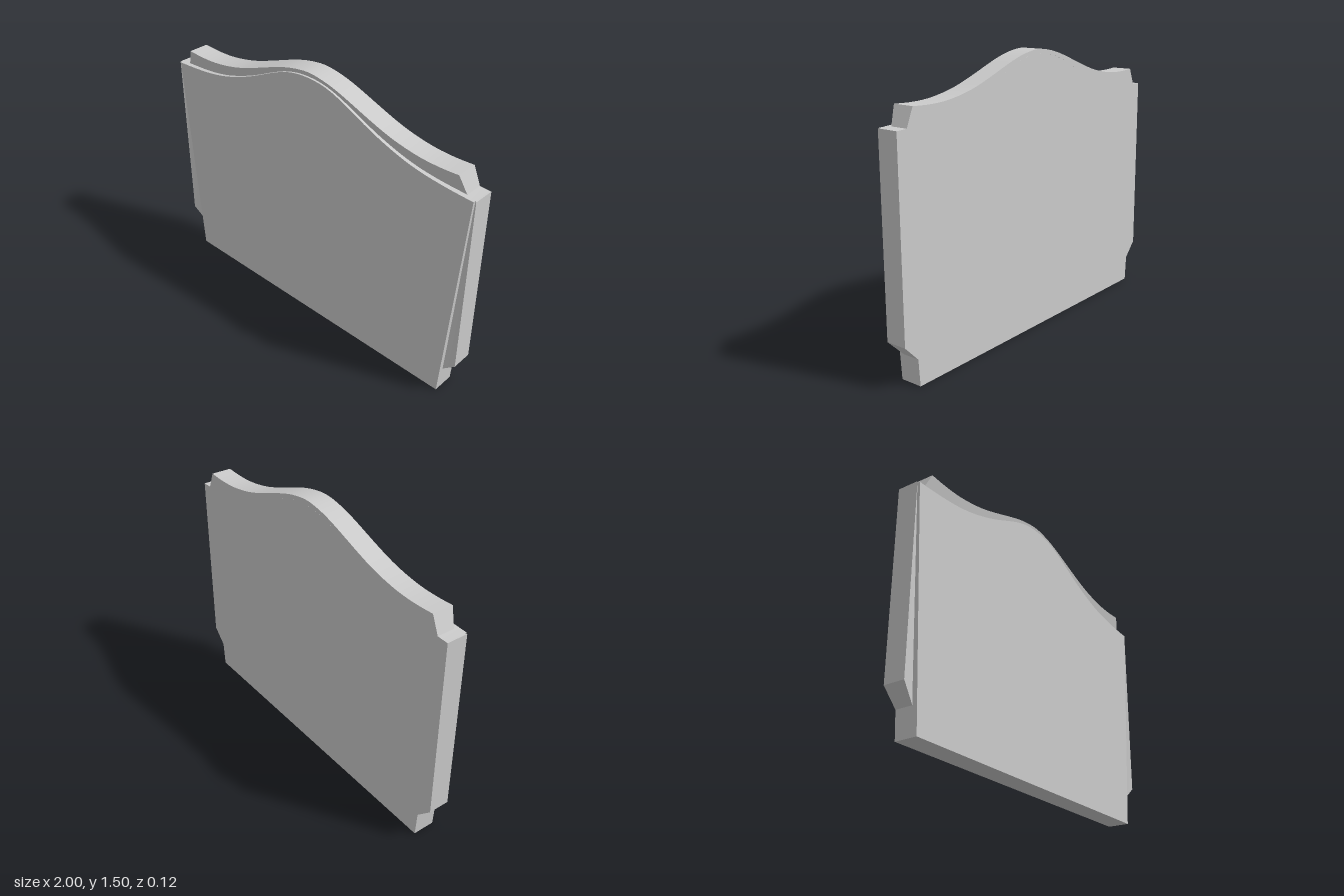
import * as THREE from 'three';
import { toCreasedNormals } from 'three/addons/utils/BufferGeometryUtils.js';

const BACK = -0.06, RIM = 0.055, FACE = 0.061;
const material = new THREE.MeshStandardMaterial({ color: 0xcccccc });

// Samples a smooth crest through [x, y] points, mirrored about x = 0
function crest(half, x) {
  const pts = [...half.slice(1).reverse().map(([a, b]) => [-a, b]), ...half];
  const i = Math.max(1, Math.min(pts.length - 3, pts.findIndex((p) => p[0] > x) - 1));
  const [p0, p1, p2, p3] = [pts[i - 1], pts[i], pts[i + 1], pts[i + 2]];
  const h = p2[0] - p1[0], t = (x - p1[0]) / h;
  const m1 = (p2[1] - p0[1]) / (p2[0] - p0[0]) * h;
  const m2 = (p3[1] - p1[1]) / (p3[0] - p1[0]) * h;
  return (2 * t ** 3 - 3 * t * t + 1) * p1[1] + (t ** 3 - 2 * t * t + t) * m1
    + (3 * t * t - 2 * t ** 3) * p2[1] + (t ** 3 - t * t) * m2;
}
const OUTER = [[0, 1.5], [0.1, 1.488], [0.2, 1.461], [0.4, 1.388], [0.5, 1.355], [0.6, 1.332],
  [0.7, 1.318], [0.8, 1.315], [0.9, 1.32], [1, 1.328]];
const INNER = [[0, 1.475], [0.1, 1.466], [0.2, 1.435], [0.4, 1.343], [0.5, 1.304], [0.6, 1.272],
  [0.7, 1.25], [0.8, 1.237], [0.9, 1.229], [1, 1.225]];

// Joins four-cornered sections into a closed solid
function loft(rings) {
  const pos = [];
  const quad = (a, b, c, d) => pos.push(...a, ...b, ...c, ...a, ...c, ...d);
  for (let k = 0; k < rings.length - 1; k++) {
    const a = rings[k], b = rings[k + 1];
    for (let i = 0; i < 4; i++) {
      const j = (i + 1) % 4;
      quad(a[i], a[j], b[j], b[i]);
    }
  }
  quad(...[...rings[0]].reverse());
  quad(...rings[rings.length - 1]);
  const g = new THREE.BufferGeometry();
  g.setAttribute('position', new THREE.Float32BufferAttribute(pos, 3));
  return toCreasedNormals(g, 0.5);
}

export function createModel() {
  const group = new THREE.Group();
  const add = (name, geometry) => {
    const mesh = new THREE.Mesh(geometry, material);
    mesh.name = name;
    group.add(mesh);
  };

  // Raised tapered panel with a curved crest
  const shape = new THREE.Shape();
  shape.moveTo(-0.91, 0);
  shape.lineTo(0.91, 0);
  shape.lineTo(0.99, 1.225);
  for (let x = 0.96; x > -0.97; x -= 0.04) shape.lineTo(x, crest(INNER, x));
  shape.lineTo(-0.99, 1.225);
  shape.closePath();
  const panel = new THREE.ExtrudeGeometry(shape, { depth: FACE - BACK, bevelEnabled: false });
  panel.translate(0, 0, BACK);
  add('frontPanel', toCreasedNormals(panel, 0.5));

  // Side wings whose front slopes down towards the panel
  const edge = (y) => 0.91 + 0.08 * y / 1.225;
  const wing = [[0.14, edge(0.14), 0.035, 0.035], [0.225, 1, RIM, 0.035], [1.225, 1, RIM, 0.046]]
    .map(([y, x, zOut, zIn]) => [[x, y, zOut], [x, y, BACK], [edge(y), y, BACK], [edge(y), y, zIn]]);
  add('leftWing', loft(wing));
  add('rightWing', loft(wing.map((r) => r.map(([x, y, z]) => [-x, y, z]).reverse())));

  // Crest strip behind the panel, with slanted ends
  const section = (x, yOut, yIn, zOut, zIn) =>
    [[x, yOut, zOut], [x, yIn, zIn], [x, yIn, BACK], [x, yOut, BACK]];
  const rings = [section(-0.94, 1.225, 1.225, 0.035, 0.035)];
  for (let i = -30; i <= 30; i++) {
    const x = i * 0.03, yOut = crest(OUTER, x), yIn = crest(INNER, x);
    rings.push(section(x, yOut, yIn, RIM, RIM - 0.22 * (yOut - yIn)));
  }
  rings.push(section(0.94, 1.225, 1.225, 0.035, 0.035));
  add('crestStrip', loft(rings));

  return group;
}
